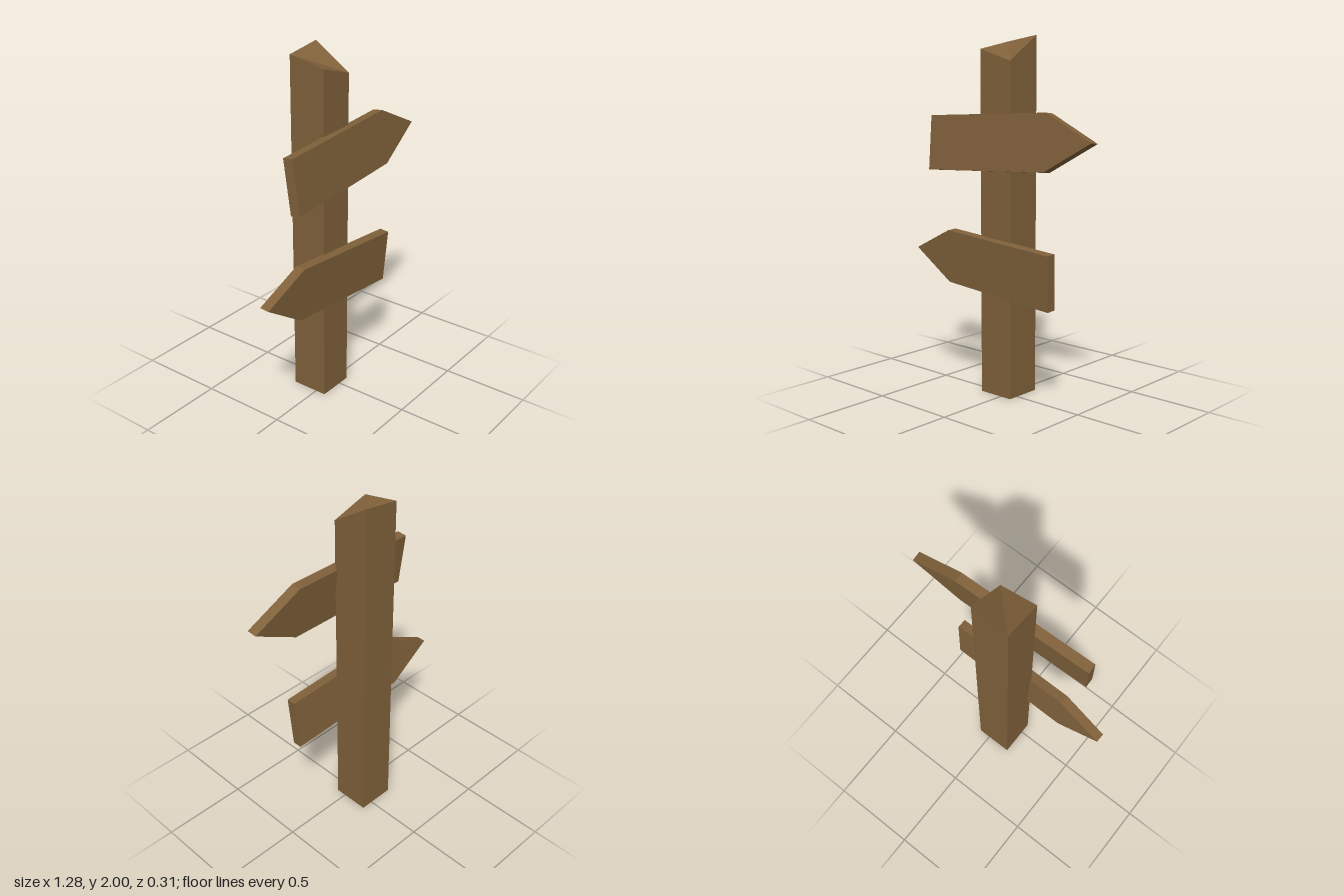
import * as THREE from 'three';

const wood = new THREE.MeshStandardMaterial({ color: 0x80613a });
wood.name = 'brownWood';

// Square post whose four top corners are cut to different heights
function makePost() {
  const g = new THREE.BoxGeometry(0.215, 2, 0.215).rotateY(Math.PI / 2).toNonIndexed();
  const p = g.attributes.position;
  for (let i = 0; i < p.count; i++) {
    const right = p.getX(i) > 0, front = p.getZ(i) > 0;
    let y = 0;
    if (p.getY(i) > 0) y = front ? (right ? 1.86 : 1.925) : (right ? 2.0 : 1.967);
    p.setXYZ(i, right ? 0.07 : -0.145, y, front ? 0.06 : -0.155);
  }
  g.computeVertexNormals();
  const mesh = new THREE.Mesh(g, wood);
  mesh.name = 'post';
  return mesh;
}

// Arrow board: outline extruded, then leaned so its front lies on
// z = z0 + slopeX * (x - x0) + slopeY * (y - y0)
function makeBoard(name, outline, [x0, y0, z0], slopeX, slopeY) {
  const depth = 0.056;
  const shape = new THREE.Shape(outline.map(([x, y]) => new THREE.Vector2(x, y)));
  const g = new THREE.ExtrudeGeometry(shape, { depth, bevelEnabled: false });
  g.translate(0, 0, -depth);
  const p = g.attributes.position;
  for (let i = 0; i < p.count; i++) {
    const x = p.getX(i), y = p.getY(i), z = p.getZ(i);
    p.setXYZ(i, x - z * slopeX, y - z * slopeY, z0 + slopeX * (x - x0) + slopeY * (y - y0) + z);
  }
  g.computeVertexNormals();
  const mesh = new THREE.Mesh(g, wood);
  mesh.name = name;
  return mesh;
}

export function createModel() {
  const group = new THREE.Group();
  group.name = 'signpost';
  group.add(makePost());

  // Upper board points to +x, its lower edge tipped forward
  group.add(makeBoard('upperArrowBoard',
    [[-0.46, 1.256], [0.352, 1.292], [0.638, 1.455], [0.342, 1.597], [-0.471, 1.56]],
    [-0.46, 1.256, 0.155], -0.036, -0.113));

  // Lower board points to -x, its upper edge tipped forward
  group.add(makeBoard('lowerArrowBoard',
    [[-0.638, 0.778], [-0.378, 0.606], [0.371, 0.553], [0.384, 0.859], [-0.365, 0.911]],
    [0.384, 0.859, 0.12], 0.029, 0.065));
  return group;
}
